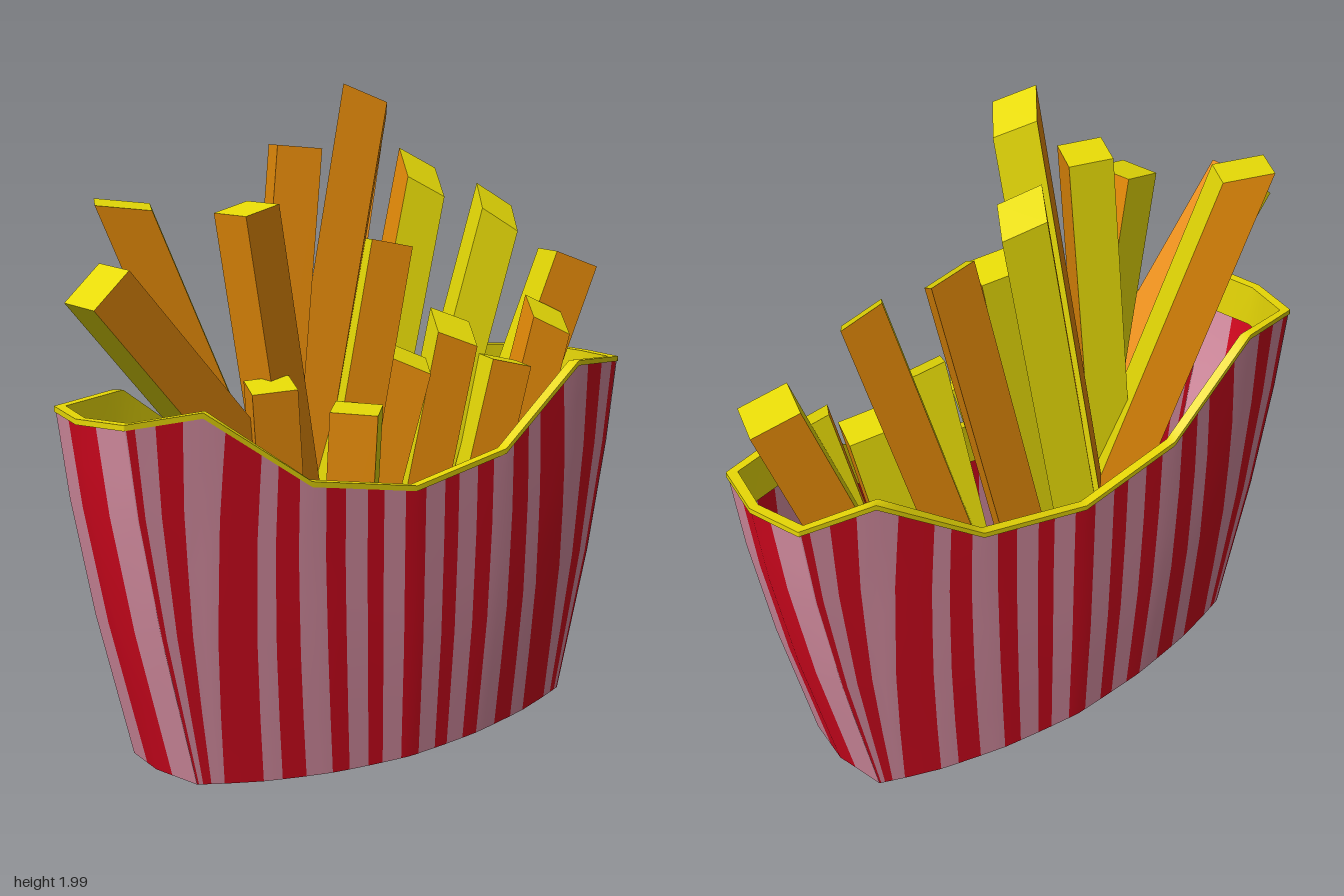
import * as THREE from 'three';

const flat = (name, color, side = THREE.FrontSide) => {
  const m = new THREE.MeshStandardMaterial({ color, side });
  m.name = name;
  return m;
};

// piecewise-linear lookup through [input, output] pairs
function lookup(table, t) {
  for (let i = 1; i < table.length; i++) {
    const [a, b] = [table[i - 1], table[i]];
    if (t <= b[0]) return THREE.MathUtils.lerp(a[1], b[1], (t - a[0]) / (b[0] - a[0]));
  }
  return table[table.length - 1][1];
}

// carton profiles: f runs 0 (middle) to 1 (narrow end), v runs 0 (base) to 1 (rim)
const RIM_Y = [[0, 0.83], [0.38, 0.89], [0.73, 1.12], [0.96, 1.105], [1, 1.1]];
const DEPTH = [[0, 1], [0.38, 0.93], [0.73, 0.79], [0.96, 0.62], [1, 0]];
const HALF_WIDTH = [[0, 0.73], [0.42, 0.85], [0.75, 0.925], [1, 0.965]];
const HALF_DEPTH = [[0, 0.265], [0.42, 0.28], [1, 0.288]];
// stripes fan outwards towards the base: rim f to base f
const BASE_F = [[0, 0], [0.38, 0.44], [0.545, 0.69], [0.66, 0.85], [0.87, 0.935], [0.96, 0.96], [1, 1]];
const STRIPES = [0.04, 0.12, 0.18, 0.26, 0.33, 0.42, 0.49, 0.545, 0.66, 0.79, 0.87, 0.93, 0.955, 0.984];
const isRed = f => STRIPES.filter(s => s < f).length % 2 === 0;

// columns around the carton: front middle, left end, back middle, right end
const quarter = [0, ...STRIPES, 0.38, 0.73, 0.96, 1].sort((a, b) => a - b);
const back = [...quarter].reverse();
const columns = [
  ...quarter.slice(0, -1).map(f => [f, 1, 1]),
  ...back.slice(0, -1).map(f => [f, 1, -1]),
  ...quarter.slice(0, -1).map(f => [f, -1, -1]),
  ...back.slice(0, -1).map(f => [f, -1, 1]),
];

function cartonPoint([f, sx, sz], v, inset = 0, drop = 0) {
  const baseF = lookup(BASE_F, f);
  const g = THREE.MathUtils.lerp(baseF, f, v);
  const y = THREE.MathUtils.lerp(0.05 * baseF * baseF, lookup(RIM_Y, f), v) - drop;
  return [
    sx * g * (lookup(HALF_WIDTH, v) - inset), y,
    sz * lookup(DEPTH, g) * (lookup(HALF_DEPTH, v) - inset),
  ];
}

// closed band through rows of points, with one material slot per column
function band(rows, slot) {
  const n = columns.length, index = [];
  const geo = new THREE.BufferGeometry();
  geo.setAttribute('position', new THREE.Float32BufferAttribute(rows.flat(2), 3));
  for (let i = 0; i < n; i++) {
    const j = (i + 1) % n, start = index.length;
    for (let r = 0; r < rows.length - 1; r++) {
      const a = r * n + i, b = r * n + j;
      index.push(a, b, b + n, a, b + n, a + n);
    }
    geo.addGroup(start, index.length - start, slot((columns[i][0] + columns[j][0]) / 2));
  }
  geo.setIndex(index);
  geo.computeVertexNormals();
  return geo;
}

// tip x, y, z, lean towards the base (dx, dz per unit down), yaw,
// colours of the +x, -x, +z, -z sides before yaw,
// then optionally the slope of the cut tip along x and z, width and bottom y
const TALL_FRIES = [
  [-0.94, 1.47, 0.08, 0.9, -0.05, 90, 'YOOY', 0, 0, 0.148, 0.75],
  [-0.71, 1.66, -0.15, 0.42, 0.08, -30, 'YOOO', -0.5, -0.2, 0.14],
  [-0.45, 1.65, 0.08, 0.2, -0.04, 8, 'OOOY'],
  [-0.22, 1.81, 0, -0.1, 0, 65, 'YOOO'],
  [-0.06, 1.94, 0.12, -0.05, -0.2, 48, 'YOOO', -0.5, 0.2, 0.13, 0.75],
  [0.14, 1.8, -0.16, -0.22, 0.04, 55, 'YOOO', -0.4],
  [0.07, 1.52, 0.05, -0.22, 0, 72, 'YOOY'],
  [0.39, 1.7, -0.16, -0.27, 0.03, 160, 'OOOY', 0, -0.8],
  [0.59, 1.59, -0.03, -0.31, -0.04, 155, 'YOOY', 0, -0.7],
  [0.9, 1.41, -0.03, -0.38, -0.1, -20, 'YYOO', 0, 0, 0.15],
];
const SHORT_FRIES = [
  [0.72, 1.25, 0.07, -0.25, -0.08, -25, 'OOOY', 0, -0.5],
  [0.31, 1.25, 0.09, -0.15, -0.12, 65, 'YOOY', 0, -0.45],
  [0.14, 1.17, 0.08, -0.25, -0.1, 60, 'YOOY', 0, -0.3],
  [0.51, 1.13, 0.1, -0.22, -0.08, 70, 'YOOY'],
  [-0.43, 1.16, 0.16, 0.14, -0.1, -25, 'YOOY'],
  [-0.13, 1.06, 0.17, 0, -0.08, -45, 'YOOY', 0, 0, 0.14],
];

// bar hanging from its tip, leaning along axis, with a slanted cut on top
function fryGeometry(width, length, yaw, axis, slopeX, slopeZ) {
  const geo = new THREE.BoxGeometry(width, length, width).translate(0, -length / 2, 0);
  geo.rotateY(THREE.MathUtils.degToRad(yaw));
  const pos = geo.attributes.position;
  for (let i = 0; i < pos.count; i++) {
    if (pos.getY(i) > -length / 2) pos.setY(i, slopeX * pos.getX(i) + slopeZ * pos.getZ(i));
  }
  geo.applyQuaternion(new THREE.Quaternion().setFromUnitVectors(new THREE.Vector3(0, 1, 0), axis));
  geo.computeVertexNormals();
  return geo;
}

export function createModel() {
  const model = new THREE.Group();
  model.name = 'friesInCarton';
  const red = flat('stripe red', 0xd4061e, THREE.DoubleSide);
  const pink = flat('stripe pink', 0xda90a4, THREE.DoubleSide);
  const maroon = flat('base maroon', 0x4a060e, THREE.DoubleSide);
  const rimYellow = flat('rim yellow', 0xeede06, THREE.DoubleSide);
  const yellow = flat('fry yellow', 0xe6da06);
  const orange = flat('fry orange', 0xe48a08);
  const add = (name, geo, mat, parent = model) => {
    const mesh = new THREE.Mesh(geo, mat);
    mesh.name = name;
    parent.add(mesh);
    return mesh;
  };
  const row = (...args) => columns.map(c => cartonPoint(c, ...args));

  // striped wall
  const wallRows = [0, 0.2, 0.42, 0.6, 0.75, 0.88, 1].map(v => row(v));
  add('cartonWall', band(wallRows, f => (isRed(f) ? 0 : 1)), [red, pink]);

  // rim edge, lip and inner lining
  const edge = row(1, -0.003, -0.004), inner = row(1, 0.026, -0.004);
  add('rimEdge', band([row(1, -0.003, 0.012), edge], () => 0), [rimYellow]);
  add('rimLip', band([edge, inner], () => 0), [rimYellow]);
  add('rimLining', band([inner, row(1, 0.032, 0.13)], () => 0), [rimYellow]);

  // base, closed by collapsing a ring to the middle
  add('cartonBase', band([columns.map(() => [0, 0, 0]), row(0)], () => 0), [maroon]);

  // fries with orange and yellow sides and yellow tips
  const fries = new THREE.Group();
  fries.name = 'fries';
  model.add(fries);
  for (const fry of [...TALL_FRIES, ...SHORT_FRIES]) {
    const [x, y, z, dx, dz, yaw, sides, slopeX = 0, slopeZ = 0, width = 0.13, bottom = 0.35] = fry;
    const axis = new THREE.Vector3(-dx, 1, -dz);
    const length = (y - bottom) * axis.length();
    const [px, nx, pz, nz] = [...sides].map(c => (c === 'O' ? orange : yellow));
    const geo = fryGeometry(width, length, yaw, axis.normalize(), slopeX, slopeZ);
    add('fry', geo, [px, nx, yellow, yellow, pz, nz], fries).position.set(x, y, z);
  }
  return model;
}
